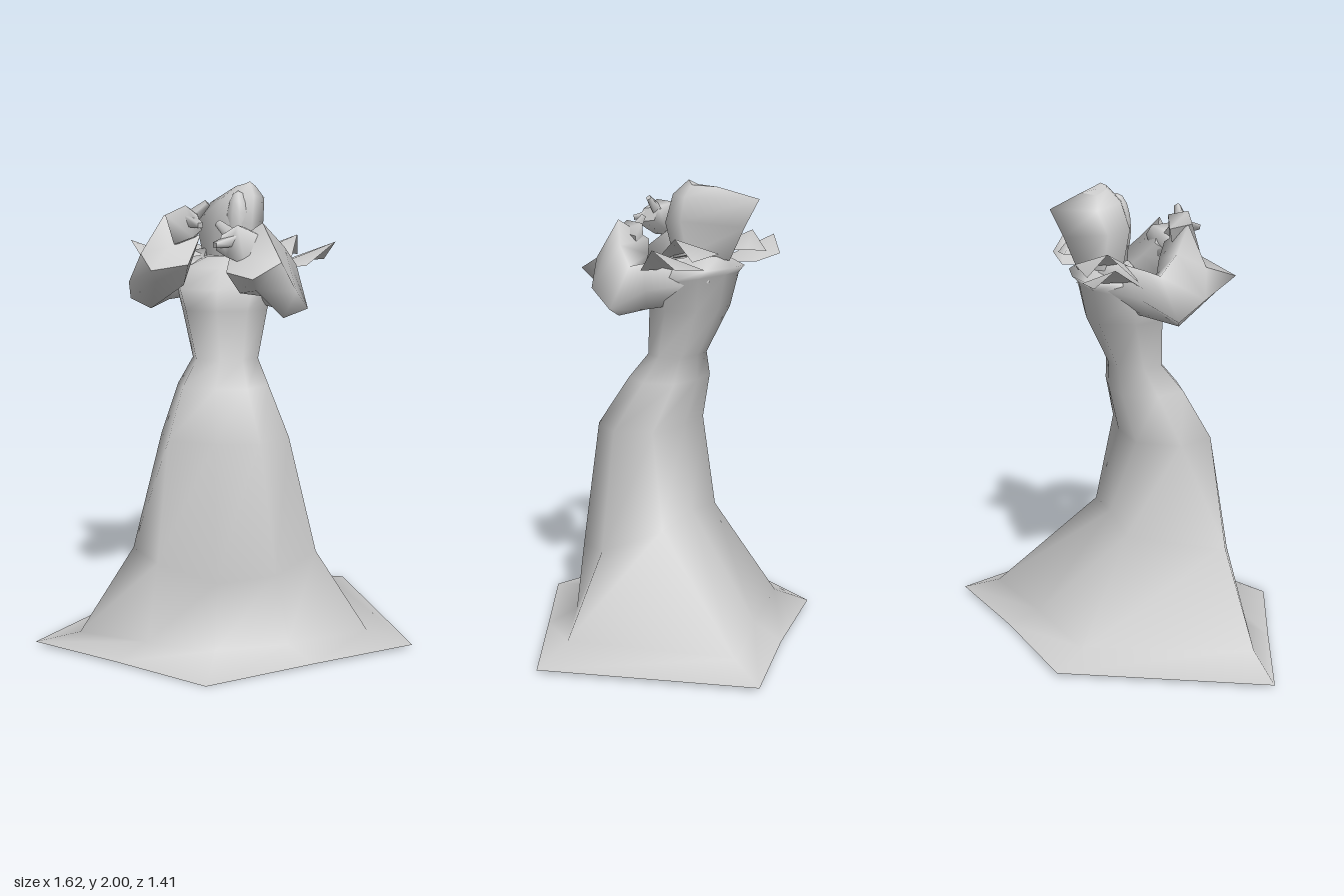
import * as THREE from 'three';

const material = new THREE.MeshStandardMaterial({ color: 0xcccccc, side: THREE.DoubleSide });
const CENTRE = -0.06; // the upper body stands slightly off the middle of the skirt

function meshFrom(name, points, index) {
  const geometry = new THREE.BufferGeometry();
  geometry.setAttribute('position', new THREE.Float32BufferAttribute(points.flat(), 3));
  geometry.setIndex(index);
  geometry.computeVertexNormals();
  const mesh = new THREE.Mesh(geometry, material);
  mesh.name = name;
  return mesh;
}

// Skin a list of closed rings; the end is capped, and the start too unless left open
function loft(name, rings, openStart = false) {
  const n = rings[0].length, points = rings.flat(), index = [];
  for (let i = 0; i < rings.length - 1; i++) {
    for (let j = 0; j < n; j++) {
      const a = i * n + j, b = i * n + (j + 1) % n;
      index.push(a, b, b + n, a, b + n, a + n);
    }
  }
  const caps = [rings[rings.length - 1]];
  if (!openStart) caps.push([...rings[0]].reverse());
  for (const ring of caps) {
    const start = points.length;
    const mid = [0, 1, 2].map(k => ring.reduce((s, p) => s + p[k], 0) / n);
    points.push(...ring, mid);
    for (let j = 0; j < n; j++) index.push(start + n, start + j, start + (j + 1) % n);
  }
  return meshFrom(name, points, index);
}

// Eight-sided body section: centre x, half width, front z, back z, rise toward the back
function section(y, x, half, front, back, rise = 0) {
  const across = [0, 0.66, 1, 0.74, 0, -0.68, -1, -0.74];
  const along = [1, 0.9, 0.48, 0.07, 0, 0.08, 0.54, 0.95];
  return across.map((s, i) => [x + s * half, y + rise * (1 - along[i]), back + along[i] * (front - back)]);
}

// Measure points from the body centre line on one side
function place(points, side, lift = 0) {
  return points.map(([x, y, z]) => [CENTRE + side * x, y + lift, z]);
}

// Place rings on one side, keeping their winding outward
function sided(rings, side, lift) {
  return rings.map(ring => (side < 0 ? place(ring, side, lift).reverse() : place(ring, side, lift)));
}

export function createModel() {
  const model = new THREE.Group();
  model.name = 'gownedFigure';

  // Gown: wide angular hem open below, trailing skirt, waist and bodice
  model.add(loft('gown', [
    [[0.02, 0, 0.7], [0.42, 0.01, 0.41], [0.81, 0.015, 0.13], [0.41, 0.015, -0.71],
      [-0.02, 0.015, -0.56], [-0.49, 0.015, -0.43], [-0.81, 0.015, 0.43], [-0.4, 0.01, 0.56]],
    [[0, 0.05, 0.45], [0.3, 0.06, 0.34], [0.61, 0.07, 0.13], [0.34, 0.07, -0.55],
      [-0.02, 0.07, -0.42], [-0.4, 0.07, -0.3], [-0.61, 0.07, 0.41], [-0.3, 0.06, 0.44]],
    [[0, 0.33, 0.4], [0.24, 0.36, 0.34], [0.38, 0.41, 0.12], [0.22, 0.5, -0.09],
      [-0.02, 0.53, -0.08], [-0.24, 0.5, -0.06], [-0.38, 0.45, 0.35], [-0.26, 0.4, 0.4]],
    section(0.92, -0.02, 0.28, 0.34, -0.04),
    section(1.13, -0.045, 0.2, 0.22, -0.09),
    section(1.24, -0.045, 0.145, 0.13, -0.09),
    section(1.45, CENTRE, 0.19, 0.12, -0.19),
    section(1.54, CENTRE, 0.225, 0.12, -0.22, 0.06),
    section(1.63, CENTRE, 0.215, 0.04, -0.25),
    section(1.68, CENTRE + 0.01, 0.1, 0, -0.2),
  ], true));

  // Neck
  const neck = new THREE.Mesh(new THREE.CylinderGeometry(0.055, 0.07, 0.16, 8), material);
  neck.name = 'neck';
  neck.position.set(-0.04, 1.69, -0.09);
  model.add(neck);

  // Hair: faceted mass, turned a little and swept to a point at the back
  model.add(loft('hair', [
    [[-0.02, 1.66, 0], [0.05, 1.67, -0.03], [0.08, 1.69, -0.12],
      [-0.08, 1.66, -0.23], [-0.18, 1.67, -0.14], [-0.1, 1.66, -0.04]],
    [[0, 1.82, 0.015], [0.07, 1.82, 0], [0.1, 1.83, -0.1],
      [-0.1, 1.8, -0.29], [-0.21, 1.82, -0.13], [-0.1, 1.82, -0.01]],
    [[0.01, 1.93, -0.02], [0.07, 1.94, -0.04], [0.1, 1.93, -0.12],
      [-0.12, 1.92, -0.35], [-0.15, 1.91, -0.16], [-0.07, 1.93, -0.04]],
    [[0.02, 1.99, -0.08], [0.04, 2, -0.1], [0.06, 1.98, -0.13],
      [-0.03, 1.97, -0.2], [-0.06, 1.96, -0.14], [-0.02, 1.98, -0.09]],
  ]));

  // Face
  const face = new THREE.Mesh(new THREE.SphereGeometry(1, 10, 8), material);
  face.name = 'face';
  face.scale.set(0.055, 0.15, 0.06);
  face.position.set(0, 1.81, -0.04);
  model.add(face);

  for (const [side, label, lift, handLift] of [[1, 'left', 0, -0.03], [-1, 'right', 0.03, 0.05]]) {
    // Arm in a trumpet sleeve: shoulder, elbow, then a wide cuff turned up and inward
    const arm = [
      [[0.1, 1.58, -0.21], [0.1, 1.68, -0.12], [0.1, 1.62, -0.03], [0.1, 1.53, -0.02], [0.1, 1.48, -0.1]],
      [[0.31, 1.55, -0.03], [0.27, 1.66, 0], [0.19, 1.63, 0.04], [0.18, 1.54, 0.05], [0.24, 1.46, 0.02]],
      [[0.39, 1.47, 0.1], [0.33, 1.65, 0.04], [0.2, 1.63, 0.06], [0.2, 1.52, 0.12], [0.29, 1.43, 0.13]],
      [[0.36, 1.55, 0.22], [0.29, 1.73, 0.12], [0.13, 1.68, 0.09], [0.12, 1.54, 0.22], [0.21, 1.56, 0.33]],
      [[0.3, 1.67, 0.24], [0.21, 1.83, 0.19], [0.07, 1.74, 0.13], [0.08, 1.63, 0.3], [0.21, 1.61, 0.4]],
    ];
    model.add(loft(label + 'Sleeve', sided(arm, side, lift)));

    // Slender angular hand
    const palm = [
      [[0.2, 1.81, 0.21], [0.18, 1.79, 0.12], [0.14, 1.69, 0.15], [0.15, 1.69, 0.26]],
      [[0.11, 1.85, 0.22], [0.12, 1.84, 0.13], [0.08, 1.72, 0.15], [0.07, 1.72, 0.25]],
      [[0.05, 1.81, 0.25], [0.07, 1.82, 0.18], [0.05, 1.76, 0.19], [0.03, 1.75, 0.27]],
    ];
    model.add(loft(label + 'Hand', sided(palm, side, handLift)));

    // Pointed fingers
    const tips = [[0.03, 1.77, 0.29], [0.02, 1.86, 0.2]];
    tips.forEach((tip, i) => {
      const [from, to] = place([[0.1, 1.79, 0.2], tip], side, handLift).map(p => new THREE.Vector3(...p));
      const reach = to.clone().sub(from);
      const finger = new THREE.Mesh(new THREE.CylinderGeometry(0.015, 0.035, reach.length(), 4), material);
      finger.name = label + 'Finger' + (i + 1);
      finger.position.copy(from).add(to).multiplyScalar(0.5);
      finger.quaternion.setFromUnitVectors(new THREE.Vector3(0, 1, 0), reach.normalize());
      model.add(finger);
    });

    // Two thin overlapping shoulder flaps, each rising to a point
    const inner = [[0.11, 1.68, -0.03], [0.11, 1.7, -0.26], [0.29, 1.65, -0.04], [0.3, 1.77, -0.17], [0.29, 1.68, -0.25]];
    const outer = [[0.2, 1.63, -0.04], [0.2, 1.64, -0.25], [0.36, 1.64, -0.04], [0.47, 1.74, -0.18], [0.41, 1.66, -0.25]];
    const faces = [0, 2, 3, 0, 3, 1, 1, 3, 4];
    if (side < 0) faces.reverse();
    model.add(meshFrom(label + 'InnerShoulderFlap', place(inner, side), faces));
    model.add(meshFrom(label + 'OuterShoulderFlap', place(outer, side), faces));
  }
  return model;
}
